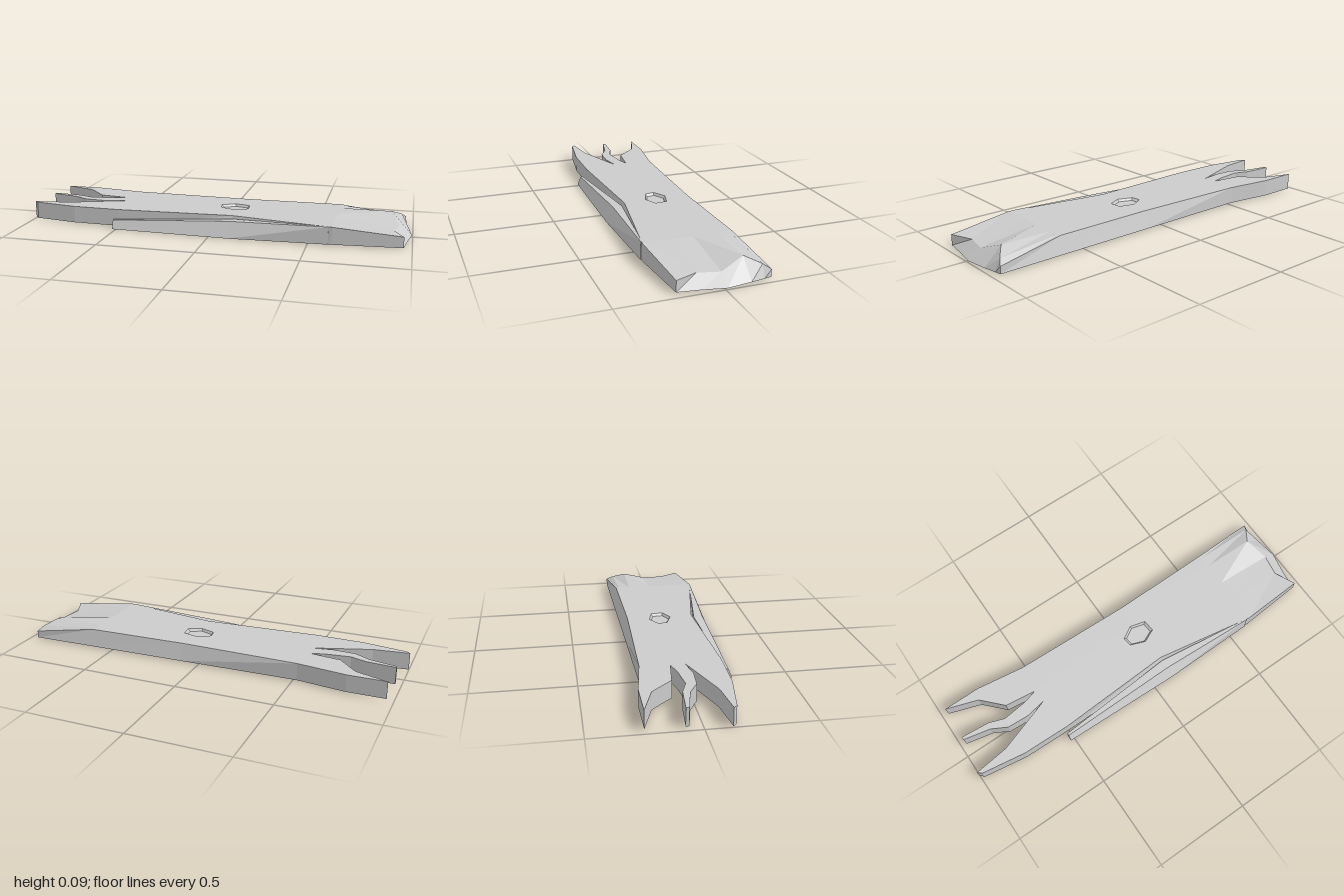
import * as THREE from 'three';

const TOP = 0.093, BASE = 0.005;
const material = new THREE.MeshStandardMaterial({ color: 0xcccccc, flatShading: true });

// Collects flat triangles and quads, corners counter-clockwise from outside
class Faces {
  constructor() { this.data = []; }
  tri(a, b, c) { this.data.push(...a, ...b, ...c); }
  quad(a, b, c, d) { this.tri(a, b, c); this.tri(a, c, d); }
  // Fills an outline given counter-clockwise from above
  fill(points, holes = [], down = false) {
    const flat = p => new THREE.Vector2(p[0], -p[2]);
    const all = [...points, ...holes.flat()];
    const tris = THREE.ShapeUtils.triangulateShape(points.map(flat), holes.map(h => h.map(flat)));
    for (const [a, b, c] of tris) {
      if (down) this.tri(all[a], all[c], all[b]);
      else this.tri(all[a], all[b], all[c]);
    }
  }
  mesh(name) {
    const g = new THREE.BufferGeometry();
    g.setAttribute('position', new THREE.Float32BufferAttribute(this.data, 3));
    g.computeVertexNormals();
    const m = new THREE.Mesh(g, material);
    m.name = name;
    return m;
  }
}

// Worn end, front to back: top x, y, z and bottom x
const END = [
  [0.96, 0.06, 0.21, 0.96], [0.91, 0.056, 0.1, 0.975], [0.93, 0.052, -0.01, 0.997],
  [0.89, TOP, -0.13, 0.98], [0.94, 0.064, -0.2, 0.967], [0.96, 0.042, -0.235, 0.96]];
// Line where the flat top starts to fall away towards the worn end
const FOLD_Z = [0.238, 0.1, -0.01, -0.13, -0.19, -0.207];
const FOLD_X = 0.62;

// Rest of the outline: x, top z, bottom z
const SIDES = [
  // back edge
  [FOLD_X, -0.207, -0.23], [0.1, -0.198, -0.223], [-0.52, -0.215, -0.215],
  // back prong
  [-0.77, -0.25], [-0.965, -0.25], [-0.8, -0.195], [-0.7, -0.09], [-0.54, -0.07],
  // middle prong
  [-0.61, -0.05], [-0.74, -0.035], [-0.82, -0.063], [-0.97, -0.076], [-0.97, -0.06],
  [-0.83, -0.03], [-0.75, 0.014], [-0.64, 0.02], [-0.53, 0],
  // front prong
  [-0.82, 0.1], [-1, 0.122], [-0.98, 0.14], [-0.75, 0.175], [-0.5, 0.18],
  // front edge, split along the splinter
  [0.1, 0.15, 0.172], [0.6, 0.235, 0.238], [FOLD_X, 0.238]];

function createPlank() {
  const f = new Faces();
  const endTop = END.map(([x, y, z]) => [x, y, z]);
  const sideTop = SIDES.map(([x, z]) => [x, TOP, z]);
  const top = [...endTop, ...sideTop];
  const bottom = [
    ...END.map(p => [p[3], BASE, p[2]]),
    ...SIDES.map(([x, z, zb = z]) => [x, BASE, zb])];

  // Outer walls and underside
  top.forEach((p, i) => {
    const j = (i + 1) % top.length;
    f.quad(bottom[i], bottom[j], top[j], p);
  });
  f.fill(bottom, [], true);

  // Sloping top at the worn end
  const fold = FOLD_Z.map(z => [FOLD_X, TOP, z]);
  for (let i = 0; i < fold.length - 1; i++) {
    f.quad(fold[i], endTop[i], endTop[i + 1], fold[i + 1]);
  }

  // Flat top with a shallow six-sided knot recess
  const ring = (scale, y) => [
    [0.155, 0], [0.15, -0.062], [0.07, -0.083], [0.003, -0.045], [0.01, 0.003], [0.087, 0.032],
  ].map(([x, z]) => [0.08 + (x - 0.08) * scale, y, -0.025 + (z + 0.025) * scale]);
  const rim = ring(1, TOP), floor = ring(0.84, TOP - 0.012);
  f.fill([...fold.slice(1, -1), ...sideTop], [rim]);
  rim.forEach((p, i) => {
    const j = (i + 1) % rim.length;
    f.quad(p, rim[j], floor[j], floor[i]);
  });
  f.fill(floor);
  return f.mesh('plank');
}

// Long splinter peeling off the front edge, lofted from four-sided sections
function createSplinter() {
  const f = new Faces();
  // outer bottom, outer top, inner top, inner bottom as z, y
  const sections = [
    [-0.52, [0.231, 0], [0.213, 0.045], [0.2, 0.045], [0.2, 0]],
    [0.1, [0.248, 0], [0.213, 0.08], [0.165, 0.08], [0.165, 0]],
    [0.6, [0.241, BASE], [0.238, TOP], [0.232, TOP], [0.232, BASE]],
  ].map(([x, ...ps]) => ps.map(([z, y]) => [x, y, z]));
  for (let s = 0; s < sections.length - 1; s++) {
    const a = sections[s], b = sections[s + 1];
    for (let i = 0; i < 4; i++) {
      const j = (i + 1) % 4;
      f.quad(a[i], b[i], b[j], a[j]);
    }
  }
  f.quad(...sections[0]);
  f.quad(...[...sections[2]].reverse());
  return f.mesh('splinter');
}

export function createModel() {
  const group = new THREE.Group();
  group.name = 'brokenPlank';
  group.add(createPlank(), createSplinter());
  return group;
}
